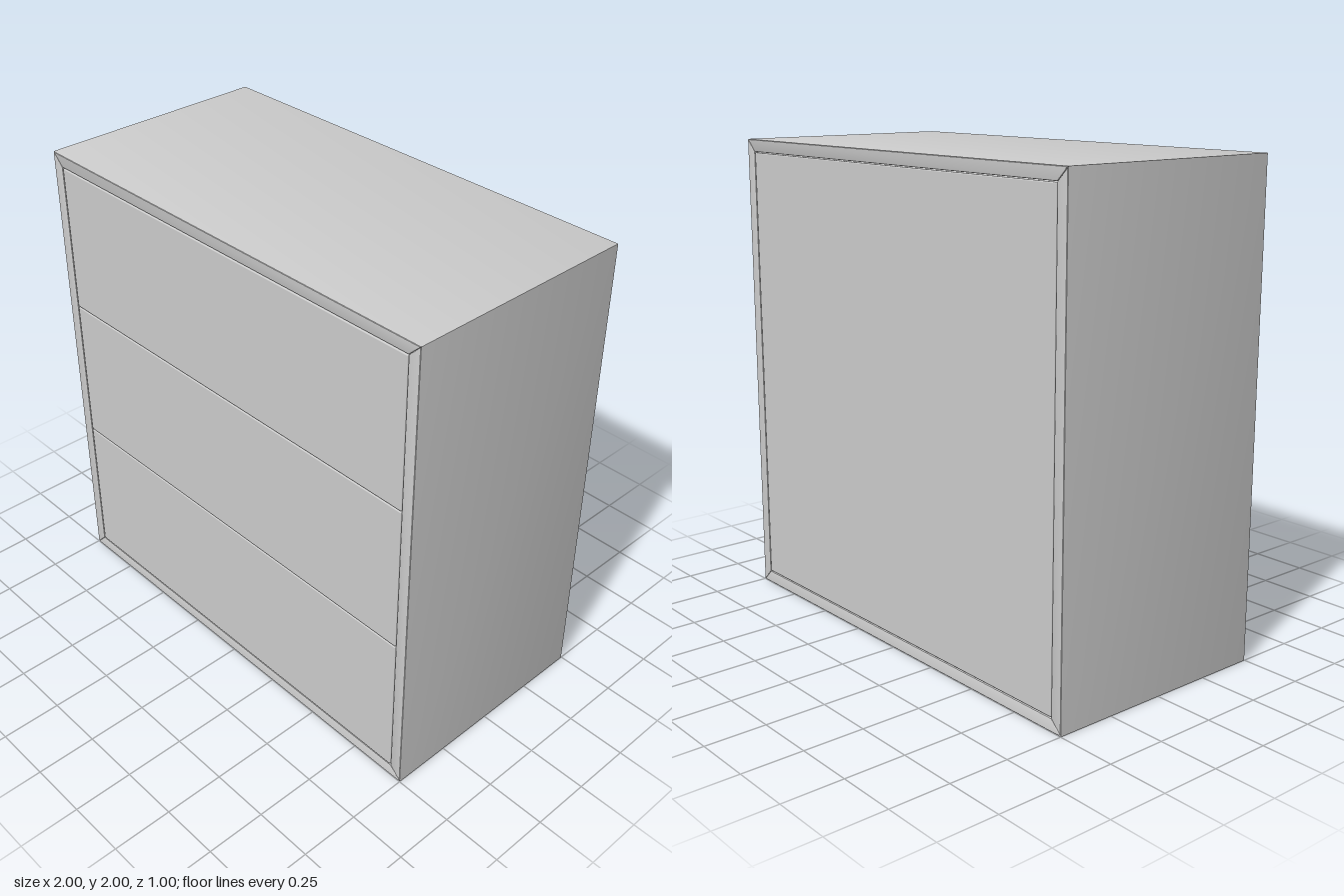
import * as THREE from 'three';
import { RoundedBoxGeometry } from 'three/addons/geometries/RoundedBoxGeometry.js';
import { toCreasedNormals } from 'three/addons/utils/BufferGeometryUtils.js';

const HALF = 1;         // half of width and height
const DEPTH = 1;
const BOARD = 0.052;    // carcass board thickness
const GAP = 0.003;      // reveal around drawers and back
const BEVEL = 0.005;
const PANEL = 0.05;     // drawer front and back thickness

const material = new THREE.MeshStandardMaterial({ color: 0xcccccc });

function addPart(parent, name, geometry, x = 0, y = 0, z = 0) {
  const mesh = new THREE.Mesh(geometry, material);
  mesh.name = name;
  mesh.position.set(x, y, z);
  parent.add(mesh);
  return mesh;
}

// Board with 45 degree mitred ends and softened edges, lying along the bottom
function mitredBoard() {
  const inner = HALF - BOARD;
  const shape = new THREE.Shape([
    new THREE.Vector2(-HALF, -HALF),
    new THREE.Vector2(HALF, -HALF),
    new THREE.Vector2(inner, -inner),
    new THREE.Vector2(-inner, -inner),
  ]);
  const geometry = new THREE.ExtrudeGeometry(shape, {
    depth: DEPTH - 2 * BEVEL,
    bevelThickness: BEVEL,
    bevelSize: BEVEL,
    bevelOffset: -BEVEL,
    bevelSegments: 2,
  });
  geometry.translate(0, 0, -DEPTH / 2 + BEVEL);
  return toCreasedNormals(geometry, 0.6);
}

export function createModel() {
  const model = new THREE.Group();
  model.name = 'chestOfDrawers';

  // Carcass: four mitred boards turned around the centre
  const carcass = new THREE.Group();
  carcass.name = 'carcass';
  carcass.position.y = HALF;
  const board = mitredBoard();
  ['bottomBoard', 'leftBoard', 'topBoard', 'rightBoard'].forEach((name, i) => {
    addPart(carcass, name, board).rotation.z = (i * Math.PI) / 2;
  });
  model.add(carcass);

  const opening = 2 * (HALF - BOARD);
  const z = (DEPTH - PANEL) / 2;

  // Three equal drawer fronts, flush with the carcass
  const pitch = (opening - GAP) / 3;
  const width = opening - 2 * GAP;
  const front = new RoundedBoxGeometry(width, pitch - GAP, PANEL, 2, BEVEL);
  for (let i = 0; i < 3; i++) {
    const y = BOARD + GAP / 2 + pitch * (i + 0.5);
    addPart(model, `drawerFront${i + 1}`, front, 0, y, z);
  }

  // Back panel
  addPart(model, 'backPanel', new RoundedBoxGeometry(width, width, PANEL, 2, BEVEL), 0, HALF, -z);
  return model;
}
